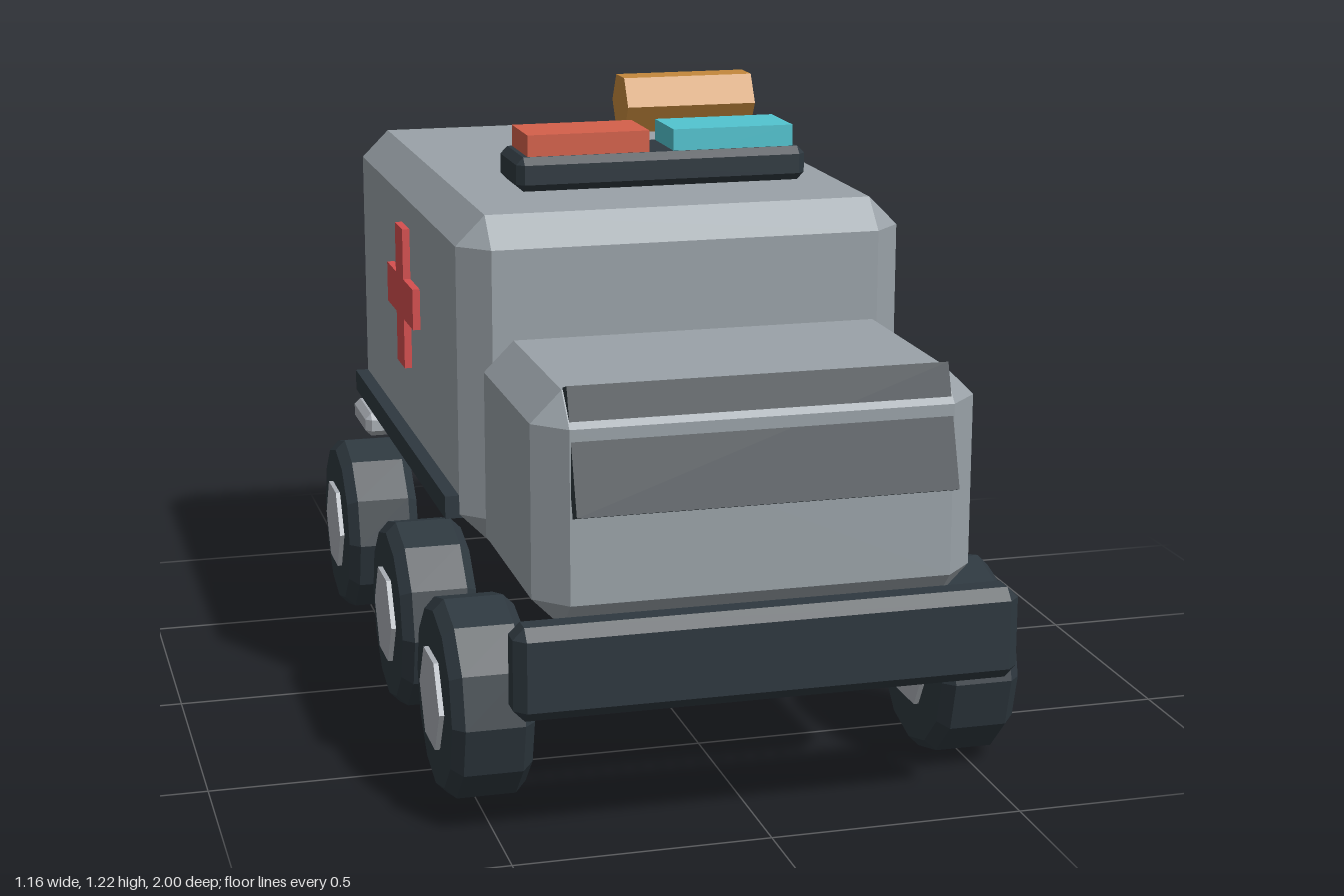
import * as THREE from 'three';
import { ConvexGeometry } from 'three/addons/geometries/ConvexGeometry.js';

const mat = (name, color) => {
  const m = new THREE.MeshStandardMaterial({ color });
  m.name = name;
  return m;
};

export function createModel() {
  const grey = mat('body grey', 0x9aa2a8);
  const pale = mat('pale metal', 0xa9aeb4);
  const dark = mat('dark trim', 0x2e383f);
  const red = mat('cross red', 0xd64f4f);
  const orange = mat('beacon red', 0xd4604a);
  const cyan = mat('beacon cyan', 0x52c4d0);
  const amber = mat('amber', 0xc4883c);

  const root = new THREE.Group();
  root.name = 'ambulance';

  const add = (name, geometry, material, x, y, z, parent = root) => {
    const mesh = new THREE.Mesh(geometry, material);
    mesh.name = name;
    mesh.position.set(x, y, z);
    parent.add(mesh);
    return mesh;
  };

  // Box with every edge cut flat by c
  const chamferBox = (w, h, d, c) => {
    const pts = [];
    for (const sx of [-1, 1]) for (const sy of [-1, 1]) for (const sz of [-1, 1]) {
      const x = sx * w / 2, y = sy * h / 2, z = sz * d / 2;
      pts.push(
        new THREE.Vector3(x, y - sy * c, z - sz * c),
        new THREE.Vector3(x - sx * c, y, z - sz * c),
        new THREE.Vector3(x - sx * c, y - sy * c, z));
    }
    return new ConvexGeometry(pts);
  };
  const box = (w, h, d) => new THREE.BoxGeometry(w, h, d);

  // Faceted solid of revolution lying along x
  const facetedRound = (profile, sides) => {
    const g = new THREE.LatheGeometry(profile.map(([r, y]) => new THREE.Vector2(r, y)), sides)
      .rotateZ(Math.PI / 2).toNonIndexed();
    g.computeVertexNormals();
    return g;
  };
  const prism = (r, len, sides) =>
    facetedRound([[0, -len / 2], [r, -len / 2], [r, len / 2], [0, len / 2]], sides);

  // Main shells
  add('rearBody', chamferBox(0.92, 0.67, 1.22, 0.06), grey, 0, 0.755, -0.203);
  add('cab', chamferBox(0.86, 0.455, 0.525, 0.06), grey, 0, 0.634, 0.667);
  add('windscreen', box(0.735, 0.24, 0.034), dark, 0, 0.756, 0.919).rotation.x = -0.32;
  add('frontBumper', chamferBox(0.98, 0.18, 0.082, 0.022), dark, 0, 0.36, 0.959);
  add('rearStep', chamferBox(0.915, 0.055, 0.185, 0.014), pale, 0, 0.362, -0.9075);
  add('rearDoor', chamferBox(0.545, 0.485, 0.05, 0.01), dark, 0, 0.698, -0.822);

  // Cross of two overlapping bars, facing z, drawn as one outline
  const a = 0.044, b = 0.153;
  const outline = [[a, b], [-a, b], [-a, a], [-b, a], [-b, -a], [-a, -a],
    [-a, -b], [a, -b], [a, -a], [b, -a], [b, a], [a, a]];
  const cross = new THREE.ExtrudeGeometry(
    new THREE.Shape(outline.map(([x, y]) => new THREE.Vector2(x, y))),
    { depth: 0.03, bevelEnabled: false });
  cross.translate(0, 0, -0.015);
  add('rearCross', cross, red, 0, 0.788, -0.85);

  // Side crosses and sills
  for (const s of [-1, 1]) {
    const side = s > 0 ? 'left' : 'right';
    add(side + 'Cross', cross, red, s * 0.461, 0.817, -0.202).rotation.y = Math.PI / 2;
    add(side + 'Sill', box(0.05, 0.047, 1.1), dark, s * 0.464, 0.496, -0.203);
  }

  // Wheels
  const R = 0.199, c = 0.022, W = 0.16;
  const tyre = facetedRound([[0, -W / 2], [R - c, -W / 2], [R, -W / 2 + c],
    [R, W / 2 - c], [R - c, W / 2], [0, W / 2]], 12);
  const hub = prism(0.102, 0.18, 6);
  for (const s of [-1, 1]) for (const [place, z] of [['front', 0.625], ['middle', 0.103], ['rear', -0.572]]) {
    const wheel = new THREE.Group();
    wheel.name = place + (s > 0 ? 'Left' : 'Right') + 'Wheel';
    wheel.position.set(s * 0.49, R, z);
    add('tyre', tyre, dark, 0, 0, 0, wheel);
    add('hub', hub, pale, 0, 0, 0, wheel);
    root.add(wheel);
  }

  // Roof lights
  add('lightBar', chamferBox(0.61, 0.07, 0.18, 0.015), dark, 0, 1.142, 0.132);
  add('rightBeacon', box(0.255, 0.06, 0.145), orange, -0.153, 1.191, 0.132);
  add('leftBeacon', box(0.255, 0.06, 0.145), cyan, 0.153, 1.191, 0.132);
  add('roofCanister', prism(0.073, 0.305, 6), amber, 0.274, 1.155, -0.602);

  return root;
}
